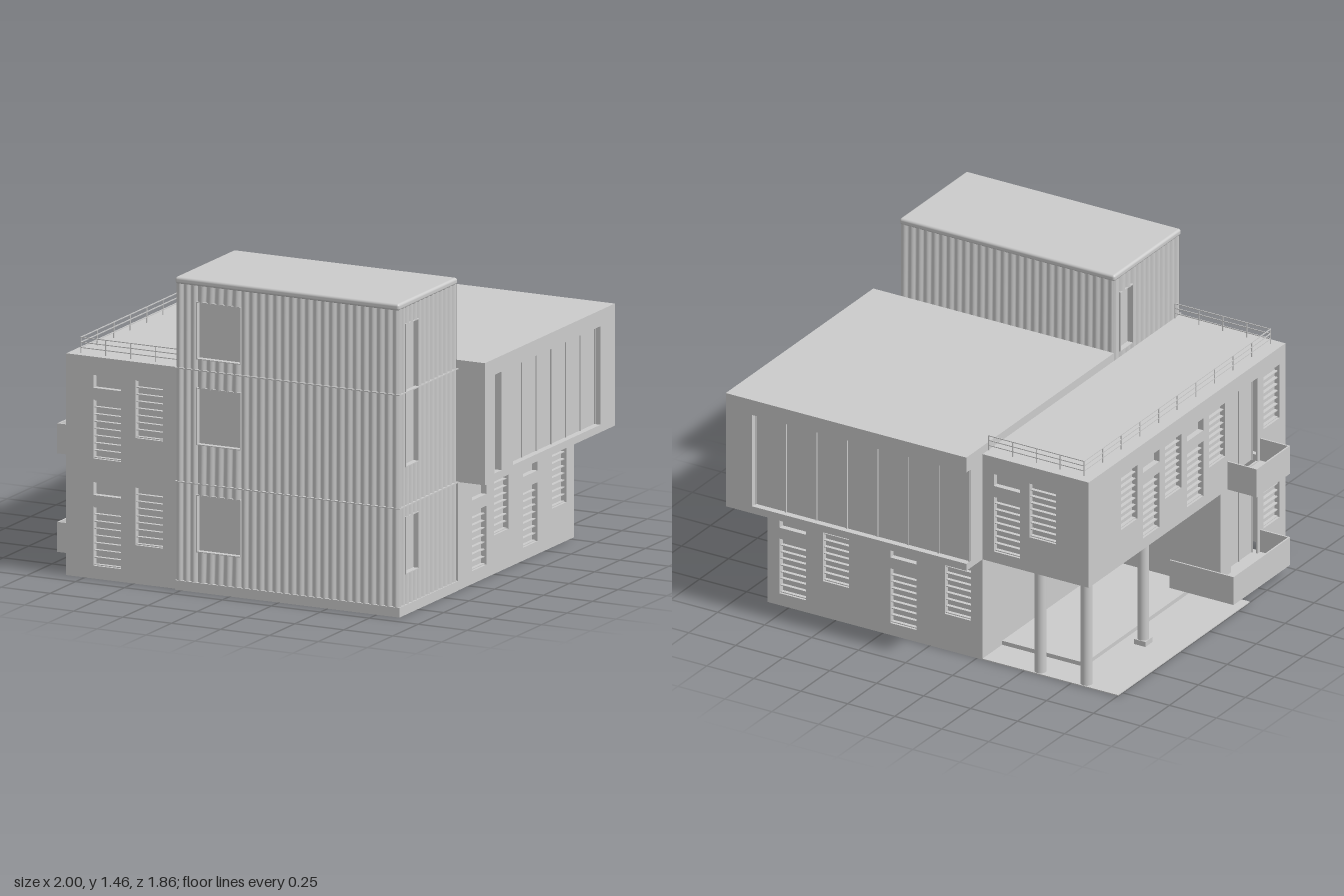
import * as THREE from 'three';
import { RoundedBoxGeometry } from 'three/addons/geometries/RoundedBoxGeometry.js';

const grey = new THREE.MeshStandardMaterial({ color: 0xcccccc, side: THREE.DoubleSide });
const FRONT = 0, RIGHT = Math.PI / 2, BACK = Math.PI, LEFT = -Math.PI / 2;

function mesh(parent, name, geometry) {
  const m = new THREE.Mesh(geometry, grey);
  m.name = name;
  parent.add(m);
  return m;
}

// Box given by its limits on each axis
function box(parent, name, x0, x1, y0, y1, z0, z1) {
  const m = mesh(parent, name, new THREE.BoxGeometry(x1 - x0, y1 - y0, z1 - z0));
  m.position.set((x0 + x1) / 2, (y0 + y1) / 2, (z0 + z1) / 2);
  return m;
}

// Group turned so that its local +z faces the given side
function side(parent, name, angle) {
  const g = new THREE.Group();
  g.name = name;
  g.rotation.y = angle;
  parent.add(g);
  return g;
}

// Wall with rectangular holes [u0, u1, y0, y1], outer face at z = d
function wall(g, d, u0, u1, y0, y1, holes = [], t = 0.01, name = 'wall') {
  const rect = (C, a, b, c, e) => new C([
    new THREE.Vector2(a, c), new THREE.Vector2(b, c), new THREE.Vector2(b, e), new THREE.Vector2(a, e)]);
  const shape = rect(THREE.Shape, u0, u1, y0, y1);
  holes.forEach(h => shape.holes.push(rect(THREE.Path, ...h)));
  const m = mesh(g, name, new THREE.ExtrudeGeometry(shape, { depth: t, bevelEnabled: false }));
  m.position.z = d - t;
}

// Pane set back in a reveal behind a hole in the wall
function recess(g, d, hole) {
  const [u0, u1, y0, y1] = hole, e = 0.004;
  wall(g, d - 0.001, u0 - e, u1 + e, y0 - e, y1 + e, [hole], 0.034, 'windowReveal');
  box(g, 'windowPane', u0, u1, y0, y1, d - 0.035, d - 0.028);
}

// Slats across a recessed window
function slats(g, d, [u0, u1, y0, y1]) {
  const n = Math.round((y1 - y0) / 0.034);
  for (let i = 0; i <= n; i++) {
    const y = y0 + 0.003 + (y1 - y0 - 0.006) * i / n;
    box(g, 'slat', u0, u1, y - 0.002, y + 0.002, d - 0.03, d - 0.01);
  }
}

// Smooth wall with low windows (A, with a vent above) and high windows (B); list of [type, u, floor]
function facade(parent, name, angle, d, u0, u1, y0, y1, windows, extra = []) {
  const g = side(parent, name, angle);
  const louvres = [], vents = [];
  for (const [type, u, f] of windows) {
    if (type === 'A') {
      louvres.push([u - 0.07, u + 0.07, f + 0.06, f + 0.335]);
      vents.push([u - 0.07, u + 0.07, f + 0.39, f + 0.45]);
    } else louvres.push([u - 0.07, u + 0.07, f + 0.18, f + 0.45]);
  }
  wall(g, d, u0, u1, y0, y1, [...louvres, ...vents, ...extra]);
  louvres.forEach(h => slats(g, d, h));
  [...louvres, ...vents].forEach(h => recess(g, d, h));
  return g;
}

// Ribbed metal sheet
function ribbed(g, d, u0, u1, y0, y1) {
  const ribs = Math.max(1, Math.round((u1 - u0) / 0.041));
  const geo = new THREE.PlaneGeometry(u1 - u0, y1 - y0, ribs * 8, 1);
  const p = geo.attributes.position;
  for (let i = 0; i < p.count; i++) {
    const k = (p.getX(i) / (u1 - u0) + 0.5) * ribs;
    p.setZ(i, 0.014 * (Math.abs(Math.sin(Math.PI * k)) - 1));
  }
  geo.computeVertexNormals();
  mesh(g, 'ribbedSheet', geo).position.set((u0 + u1) / 2, (y0 + y1) / 2, d);
}

// Ribbed wall with one column of windows between w0 and w1; openings are [y0, y1]
function ribbedWall(parent, name, angle, d, u0, u1, y0, y1, w0, w1, openings) {
  const g = side(parent, name, angle);
  if (!openings) return ribbed(g, d, u0, u1, y0, y1);
  ribbed(g, d, u0, w0, y0, y1);
  ribbed(g, d, w1, u1, y0, y1);
  let y = y0;
  for (const [a, b] of openings) {
    ribbed(g, d, w0, w1, y, a);
    recess(g, d, [w0, w1, a, b]);
    y = b;
  }
  ribbed(g, d, w0, w1, y, y1);
}

// Row of tall panes set back in an opening
function glazing(g, d, u0, u1, y0, y1, n) {
  box(g, 'glazing', u0, u1, y0, y1, d - 0.04, d - 0.032);
  for (let i = 0; i <= n; i++) {
    const u = u0 + (u1 - u0) * i / n;
    box(g, 'mullion', u - 0.003, u + 0.003, y0, y1, d - 0.034, d - 0.026);
  }
}

function railing(parent, a, b) {
  const g = new THREE.Group();
  g.name = 'railing';
  parent.add(g);
  const dir = b.clone().sub(a), len = dir.length(), n = Math.ceil(len / 0.165);
  for (let i = 0; i <= n; i++) {
    const p = a.clone().addScaledVector(dir, i / n);
    mesh(g, 'railPost', new THREE.CylinderGeometry(0.003, 0.003, 0.075, 6)).position.set(p.x, 1.0725, p.z);
  }
  for (const y of [1.06, 1.085, 1.108]) {
    const r = mesh(g, 'rail', new THREE.BoxGeometry(len, 0.004, 0.004));
    r.position.set((a.x + b.x) / 2, y, (a.z + b.z) / 2);
    r.rotation.y = -Math.atan2(dir.z, dir.x);
  }
}

// Balcony tray with thin parapets
function balcony(parent, x0, x1, y0, y1, z0, z1) {
  const g = new THREE.Group(), t = 0.008;
  g.name = 'balcony';
  parent.add(g);
  box(g, 'balconyFloor', x0, x1, y0, y0 + 0.03, z0, z1);
  box(g, 'balconyFront', x0, x0 + t, y0, y1, z0, z1);
  box(g, 'balconyBackEnd', x0, x1, y0, y1, z0, z0 + t);
  box(g, 'balconyFrontEnd', x0, -0.845, y0, y1, z1 - t, z1);
}

export function createModel() {
  const root = new THREE.Group();
  root.name = 'house';

  // Ribbed stair tower
  const tower = new THREE.Group();
  tower.name = 'tower';
  root.add(tower);
  ribbedWall(tower, 'towerFront', FRONT, 0.925, -0.28, 0.865, 0.045, 1.435, -0.17, 0.05,
    [[0.19, 0.45], [0.69, 0.95], [1.09, 1.35]]);
  ribbedWall(tower, 'towerRight', RIGHT, 0.865, -0.925, -0.35, 0.045, 1.435, -0.855, -0.735,
    [[0.19, 0.45], [0.69, 1.35]]);
  ribbedWall(tower, 'towerLeft', LEFT, 0.28, 0.35, 0.925, 1.0, 1.435, 0.41, 0.51, [[1.06, 1.35]]);
  ribbedWall(tower, 'towerBack', BACK, -0.35, -0.865, 0.28, 1.03, 1.435);
  const cap = mesh(tower, 'towerRoof', new RoundedBoxGeometry(1.145, 0.032, 0.58, 3, 0.012));
  cap.position.set(0.2925, 1.445, 0.64);
  for (const [y0, y1] of [[0, 0.045], [0.503, 0.508], [1.033, 1.038]]) {
    box(tower, 'bandFront', -0.28, 0.867, y0, y1, 0.905, 0.928);
    box(tower, 'bandRight', 0.845, 0.867, y0, y1, 0.35, 0.928);
  }

  // Ground storey under the cantilever
  facade(root, 'groundRight', RIGHT, 0.865, -0.35, 0.79, 0, 0.505,
    [['A', -0.14, 0], ['B', 0.075, 0], ['A', 0.36, 0], ['B', 0.645, 0]]);
  facade(root, 'groundBack', BACK, 0.79, -0.865, 0.28, 0, 0.505,
    [['A', -0.73, 0], ['B', -0.5, 0], ['A', -0.14, 0], ['B', 0.15, 0]]);
  facade(root, 'porchSide', LEFT, 0.28, -0.79, 0.35, 0, 0.505, []);

  // Cantilevered upper volume with deep glazed openings
  const upper = new THREE.Group();
  upper.name = 'upperVolume';
  root.add(upper);
  box(upper, 'upperFloor', -0.28, 1, 0.505, 0.54, -0.93, 0.345);
  box(upper, 'upperRoof', -0.28, 1, 1.035, 1.075, -0.93, 0.345);
  const r = side(upper, 'upperRight', RIGHT);
  wall(r, 1, -0.345, 0.93, 0.505, 1.075, [[-0.25, -0.18, 0.54, 1], [-0.07, 0.79, 0.54, 1]], 0.05);
  glazing(r, 1, -0.25, -0.18, 0.54, 1, 1);
  glazing(r, 1, -0.07, 0.79, 0.54, 1, 6);
  // The back opening runs out to the left end, between the floor and the fascia
  const b = side(upper, 'upperBack', BACK);
  wall(b, 0.93, -1, -0.86, 0.505, 1.075, [], 0.05);
  wall(b, 0.93, -0.86, 0.28, 1, 1.075, [], 0.05);
  glazing(b, 0.93, -0.86, 0.277, 0.54, 1, 7);
  wall(side(upper, 'upperFront', FRONT), 0.345, 0.8, 1, 0.505, 1.075);
  wall(side(upper, 'upperLeft', LEFT), 0.28, -0.895, -0.75, 0.505, 1.035);

  // Left wing
  const wing = new THREE.Group();
  wing.name = 'leftWing';
  root.add(wing);
  facade(wing, 'wingFront', FRONT, 0.91, -0.845, -0.28, 0, 1.035,
    [['A', -0.635, 0], ['B', -0.42, 0], ['A', -0.635, 0.5], ['B', -0.42, 0.5]]);
  facade(wing, 'wingBack', BACK, 0.79, 0.28, 0.845, 0.505, 1.035, [['A', 0.41, 0.5], ['B', 0.6, 0.5]]);
  const left = facade(wing, 'wingLeftUpper', LEFT, 0.845, -0.79, 0.91, 0.505, 1.035,
    [['B', -0.44, 0.5], ['A', -0.25, 0.5], ['B', -0.06, 0.5], ['A', 0.13, 0.5], ['B', 0.32, 0.5], ['B', 0.79, 0.5]],
    [[0.44, 0.67, 0.54, 0.96]]);
  const low = facade(wing, 'wingLeftLower', LEFT, 0.845, 0.35, 0.91, 0, 0.505,
    [['B', 0.79, 0]], [[0.44, 0.67, 0.04, 0.46]]);
  glazing(left, 0.845, 0.44, 0.67, 0.54, 0.96, 2);
  glazing(low, 0.845, 0.44, 0.67, 0.04, 0.46, 2);
  facade(wing, 'porchEnd', BACK, -0.35, 0.28, 0.845, 0, 0.505, []);
  box(wing, 'wingRoof', -0.845, -0.28, 1.015, 1.035, -0.79, 0.91);
  box(wing, 'porchCeiling', -0.845, -0.28, 0.505, 0.525, -0.79, 0.35);

  // Roof railing around three sides
  const v = (x, z) => new THREE.Vector3(x, 0, z);
  railing(wing, v(-0.79, 0.87), v(-0.79, -0.74));
  railing(wing, v(-0.79, 0.87), v(-0.283, 0.87));
  railing(wing, v(-0.79, -0.74), v(-0.283, -0.74));

  // Open porch: paving, raised floor and columns
  box(root, 'paving', -1, -0.28, 0, 0.005, -0.79, 0.35);
  box(root, 'porchFloor', -0.72, -0.28, 0.005, 0.025, -0.62, 0.35);
  for (const [x, z] of [[-0.57, -0.76], [-0.815, -0.76], [-0.815, -0.27]]) {
    mesh(root, 'column', new THREE.CylinderGeometry(0.027, 0.027, 0.505, 24)).position.set(x, 0.2525, z);
  }
  box(root, 'columnBase', -0.845, -0.785, 0, 0.03, -0.3, -0.24);

  // Balconies on the left side
  balcony(root, -1, -0.66, 0.045, 0.185, 0.21, 0.7);
  balcony(root, -1, -0.845, 0.505, 0.645, 0.41, 0.7);

  return root;
}
